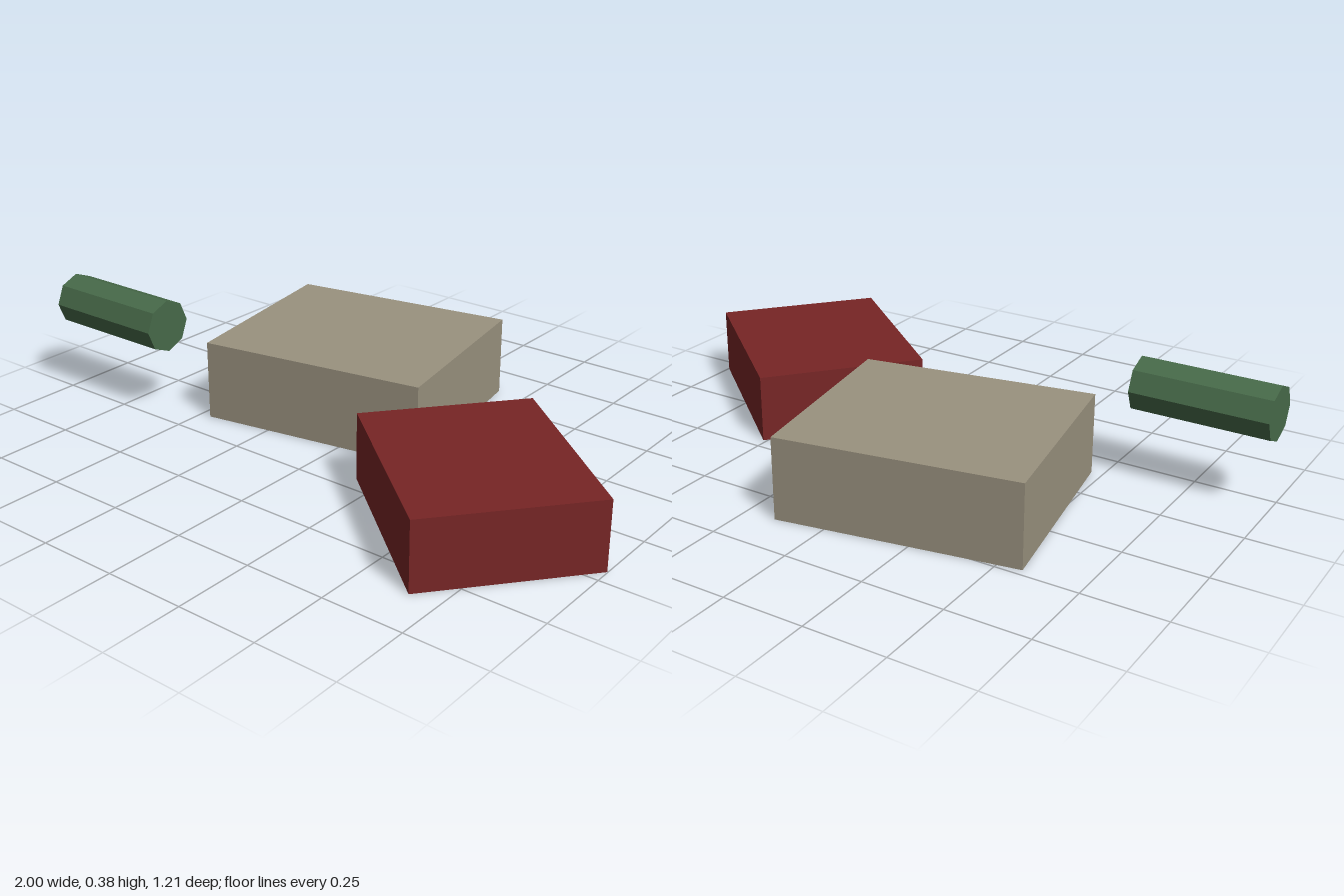
import * as THREE from 'three';

export function createModel() {
  const model = new THREE.Group();
  const material = (name, color) => {
    const m = new THREE.MeshStandardMaterial({ color });
    m.name = name;
    return m;
  };
  const beige = material('beige', 0x9a927f);
  const red = material('dark red', 0x772525);
  const green = material('green', 0x476a49);
  green.flatShading = true;

  // Box standing on the ground, turned about the vertical axis
  const addBlock = (name, mat, [w, h, d], x, z, degrees) => {
    const mesh = new THREE.Mesh(new THREE.BoxGeometry(w, h, d), mat);
    mesh.name = name;
    mesh.position.set(x, h / 2, z);
    mesh.rotation.y = THREE.MathUtils.degToRad(degrees);
    model.add(mesh);
  };
  addBlock('beigeBlock', beige, [0.735, 0.254, 0.63], -0.156, -0.23, 10);
  addBlock('redBlock', red, [0.635, 0.212, 0.526], 0.586, 0.197, -40);

  // Octagonal bar lying along x, raised above the ground
  const bar = new THREE.Mesh(new THREE.CylinderGeometry(0.084, 0.084, 0.42, 8), green);
  bar.name = 'octagonalBar';
  bar.rotation.z = Math.PI / 2;
  bar.position.set(-0.79, 0.298, 0.197);
  model.add(bar);

  return model;
}
